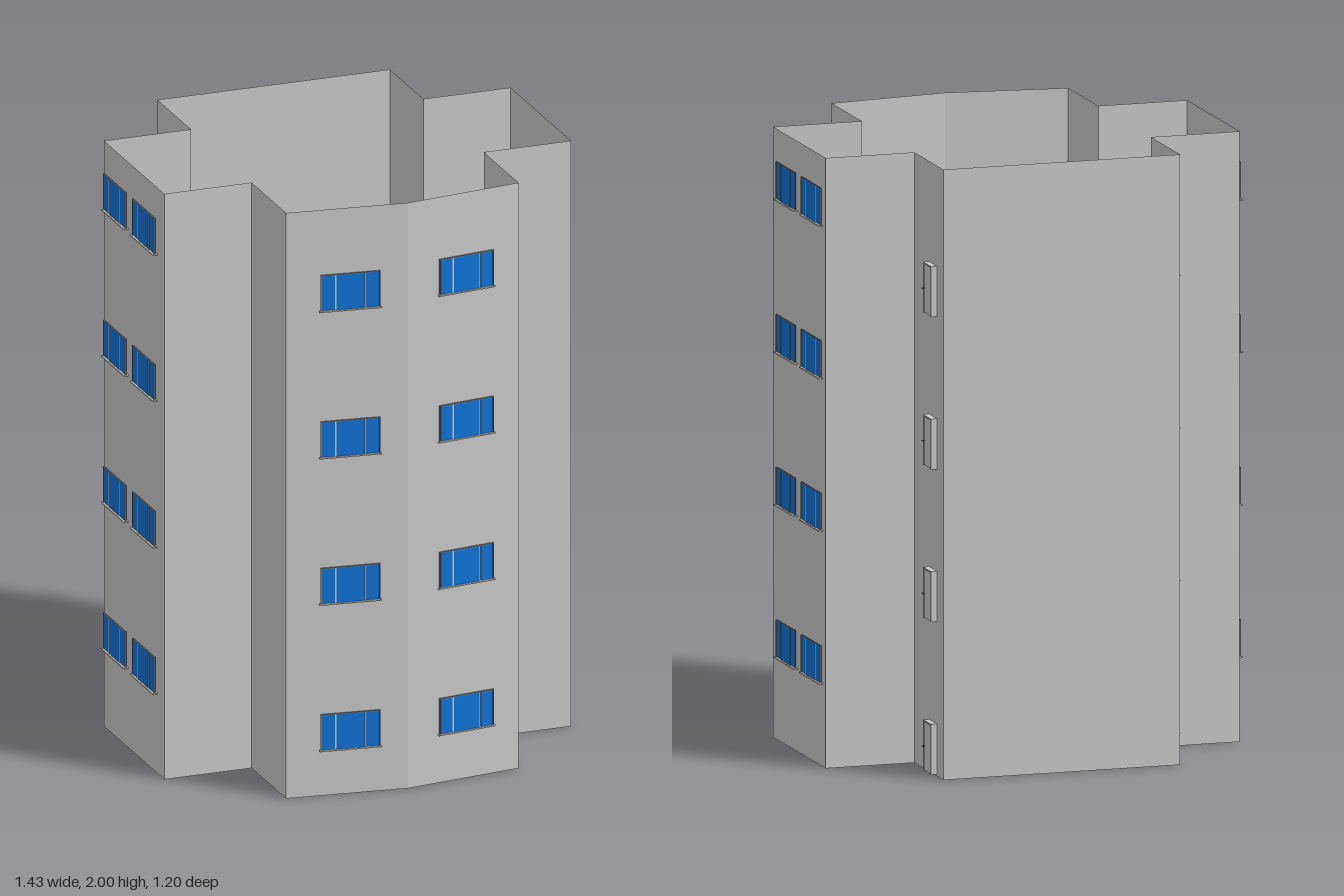
import * as THREE from 'three';

const HEIGHT = 2, FLOORS = 4, STOREY = 0.5;
const mat = (color, side = THREE.FrontSide) => new THREE.MeshStandardMaterial({ color, side });
const grey = mat(0xcccccc);
const wallMat = mat(0xcccccc, THREE.DoubleSide);
const glass = mat(0x0f74d8);
const sillMat = mat(0xd8cec2);
const frameMat = mat(0x777777);
const white = mat(0xeeeeee);

function box(parent, name, w, h, d, x, y, z, material) {
  const mesh = new THREE.Mesh(new THREE.BoxGeometry(w, h, d), material);
  mesh.name = name;
  mesh.position.set(x, y, z);
  parent.add(mesh);
  return mesh;
}

// Three-light window: local x along the wall, z outward, y = 0 at the sill
function createWindow() {
  const g = new THREE.Group();
  g.name = 'window';
  box(g, 'sill', 0.205, 0.004, 0.02, 0, 0.002, 0, sillMat);
  box(g, 'windowHead', 0.198, 0.003, 0.005, 0, 0.1245, 0.0025, frameMat);
  for (const s of [-1, 1]) {
    box(g, 'sidePane', 0.042, 0.118, 0.003, s * 0.073, 0.064, 0.0025, glass);
    box(g, 'jamb', 0.004, 0.122, 0.005, s * 0.097, 0.064, 0.0025, frameMat);
    box(g, 'mullion', 0.004, 0.12, 0.004, s * 0.049, 0.064, 0.0025, white);
  }
  box(g, 'middlePane', 0.093, 0.121, 0.004, 0, 0.064, 0.0025, glass);
  return g;
}

// Door with raised surround and lever handle, standing on y = 0
function createDoor() {
  const g = new THREE.Group();
  g.name = 'door';
  box(g, 'doorLeaf', 0.072, 0.158, 0.017, 0, 0.08, 0.0085, grey);
  for (const s of [-1, 1]) box(g, 'doorJamb', 0.004, 0.162, 0.02, s * 0.038, 0.081, 0.01, grey);
  box(g, 'doorHead', 0.08, 0.004, 0.02, 0, 0.164, 0.01, grey);
  box(g, 'handleStem', 0.003, 0.003, 0.01, -0.03, 0.082, 0.021, frameMat);
  box(g, 'handleLever', 0.014, 0.003, 0.003, -0.025, 0.082, 0.026, frameMat);
  return g;
}

export function createModel() {
  const model = new THREE.Group();
  model.name = 'apartmentTower';

  // Open shell of single-sheet walls around the cross-shaped plan [x, z]
  const half = [[0, 0.6], [0.4, 0.55], [0.4, 0.24], [0.7, 0.24], [0.7, -0.3], [0.4, -0.3], [0.4, -0.6]];
  const plan = [...half, ...half.slice(1).reverse().map(([x, z]) => [-x, z])];
  const walls = new THREE.Group();
  walls.name = 'walls';
  plan.forEach(([x, z], i) => {
    const [nx, nz] = plan[(i + 1) % plan.length];
    const wall = new THREE.Mesh(new THREE.PlaneGeometry(Math.hypot(nx - x, nz - z), HEIGHT), wallMat);
    wall.name = 'wall';
    wall.position.set((x + nx) / 2, HEIGHT / 2, (z + nz) / 2);
    wall.rotation.y = Math.atan2(z - nz, nx - x);
    walls.add(wall);
  });
  model.add(walls);

  // Openings on each floor: [maker, x, y, z, heading]
  const slope = Math.atan2(0.05, 0.4), quarter = Math.PI / 2;
  const openings = [
    [createWindow, -0.19, 0.152, 0.577, -slope],
    [createWindow, 0.21, 0.162, 0.574, slope],
    [createWindow, 0.704, 0.27, 0.09, quarter],
    [createWindow, 0.704, 0.27, -0.168, quarter],
    [createWindow, -0.706, 0.27, 0.076, -quarter],
    [createWindow, -0.706, 0.27, -0.182, -quarter],
    [createDoor, 0.4, 0.005, -0.49, quarter],
    [createDoor, -0.4, 0.005, -0.49, -quarter],
  ];
  for (let floor = 0; floor < FLOORS; floor++) {
    const storey = new THREE.Group();
    storey.name = 'storey' + (floor + 1);
    storey.position.y = floor * STOREY;
    for (const [make, x, y, z, heading] of openings) {
      const part = make();
      part.position.set(x, y, z);
      part.rotation.y = heading;
      storey.add(part);
    }
    model.add(storey);
  }
  return model;
}
